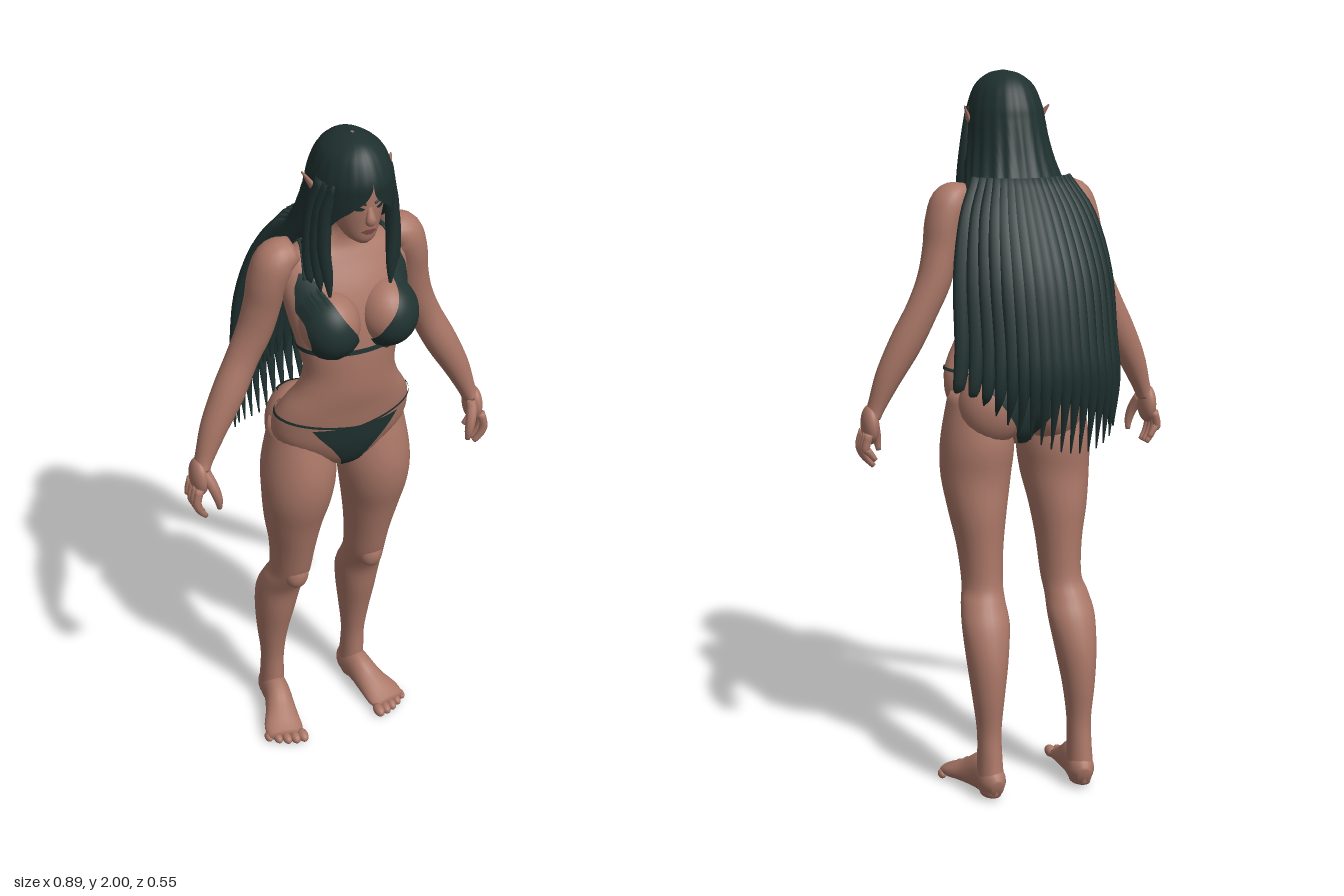
import * as THREE from 'three';

const mat = (name, color, side = THREE.FrontSide) => {
  const m = new THREE.MeshStandardMaterial({ color, side });
  m.name = name;
  return m;
};
const skin = mat('skin', 0xaa7767);
const hair = mat('darkHair', 0x1e302f, THREE.DoubleSide);
const cloth = mat('darkCloth', 0x213432, THREE.DoubleSide);
const lip = mat('lip', 0x7e4b45, THREE.DoubleSide);

// Smoothly resample cross-sections [x, y, z, ra, rb]
function samples(pts, n) {
  const c = new THREE.CatmullRomCurve3(pts.map(p => new THREE.Vector3(p[0], p[1], p[2])), false, 'catmullrom');
  const r = new THREE.CatmullRomCurve3(pts.map(p => new THREE.Vector3(p[3], p[4] ?? p[3], 0)), false, 'catmullrom');
  return Array.from({ length: n + 1 }, (_, i) => {
    const a = c.getPoint(i / n), b = r.getPoint(i / n);
    return [a.x, a.y, a.z, Math.max(b.x, 0.001), Math.max(b.y, 0.001)];
  });
}
function geometry(pos, idx) {
  const g = new THREE.BufferGeometry();
  g.setAttribute('position', new THREE.Float32BufferAttribute(pos, 3));
  g.setIndex(idx);
  g.computeVertexNormals();
  return g;
}
// Closed body of elliptical rings along a path; flat keeps the rings horizontal
function sweep(pts, n = 20, sides = 16, flat = false) {
  const s = samples(pts, n), pos = [], idx = [];
  const v = s.map(p => new THREE.Vector3(p[0], p[1], p[2]));
  for (let i = 0; i <= n; i++) {
    const t = v[Math.min(i + 1, n)].clone().sub(v[Math.max(i - 1, 0)]).normalize();
    if (flat) t.set(0, Math.sign(t.y), 0);
    const a = new THREE.Vector3(1, 0, 0).addScaledVector(t, -t.x).normalize();
    const b = t.clone().cross(a);
    for (let j = 0; j < sides; j++) {
      const th = j / sides * Math.PI * 2;
      const p = v[i].clone().addScaledVector(a, Math.cos(th) * s[i][3]).addScaledVector(b, Math.sin(th) * s[i][4]);
      pos.push(p.x, p.y, p.z);
      const k = i * sides + j, q = i * sides + (j + 1) % sides;
      if (i < n) idx.push(k, q, k + sides, q, q + sides, k + sides);
    }
  }
  const c0 = pos.length / 3, last = n * sides;
  pos.push(...v[0].toArray(), ...v[n].toArray());
  for (let j = 0; j < sides; j++) {
    const q = (j + 1) % sides;
    idx.push(c0, q, j, c0 + 1, last + j, last + q);
  }
  return geometry(pos, idx);
}
function grid(nu, nv, f) {
  const pos = [], idx = [];
  for (let i = 0; i <= nv; i++) for (let j = 0; j <= nu; j++) {
    pos.push(...f(j / nu, i / nv));
    const k = i * (nu + 1) + j;
    if (i < nv && j < nu) idx.push(k, k + 1, k + nu + 1, k + 1, k + nu + 2, k + nu + 1);
  }
  return geometry(pos, idx);
}
// Linear lookup in rows [key, a, b, ...] with rising keys
function lookup(rows, y) {
  let i = 0;
  while (i < rows.length - 2 && rows[i + 1][0] < y) i++;
  const a = rows[i], b = rows[i + 1];
  const t = Math.min(1, Math.max(0, (y - a[0]) / (b[0] - a[0])));
  return a.map((q, k) => q + (b[k] - q) * t);
}
// Thin patch between edges rows [y, x0, x1], laid on the surface z = f(x, y)
const patch = (rows, f, nu = 16, nv = 20) => grid(nu, nv, (u, v) => {
  const y = rows[0][0] + (rows[rows.length - 1][0] - rows[0][0]) * v;
  const [, x0, x1] = lookup(rows, y), x = x0 + (x1 - x0) * u;
  return [x, y, f(x, y)];
});
const arc = (x, r) => Math.sqrt(Math.max(0, 1 - (x / r) ** 2));

const torsoPts = [[0, .985, .05, .03, .05], [0, 1.03, .06, .11, .09], [0, 1.1, .07, .185, .11], [0, 1.17, .085, .195, .11],
  [0, 1.22, .105, .178, .1], [0, 1.28, .128, .142, .09], [0, 1.34, .135, .127, .088], [0, 1.42, .13, .143, .093],
  [0, 1.5, .12, .163, .095], [0, 1.58, .105, .175, .085], [0, 1.65, .085, .165, .068], [0, 1.69, .08, .1, .055],
  [0, 1.73, .09, .05, .05], [0, 1.8, .115, .045, .05]];
const headPts = [[0, 1.733, .2, .018, .025], [0, 1.75, .187, .04, .05], [0, 1.79, .162, .06, .082], [0, 1.84, .15, .071, .1],
  [0, 1.9, .145, .077, .105], [0, 1.95, .14, .065, .09], [0, 1.985, .14, .03, .045]];
const surface = pts => {
  const rows = samples(pts, 60).map(p => [p[1], p[2], p[3], p[4]]);
  return (x, y, dir = 1) => { const [, z, rx, rz] = lookup(rows, y); return z + dir * rz * arc(x, rx); };
};
const torsoZ = surface(torsoPts), headZ = surface(headPts);

export function createModel() {
  const root = new THREE.Group();
  root.name = 'standingFigure';
  const add = (name, geo, m = skin) => {
    const mesh = new THREE.Mesh(geo, m);
    mesh.name = name;
    root.add(mesh);
    return mesh;
  };
  const ball = (name, p, r, m = skin) => add(name, new THREE.SphereGeometry(1, 24, 16).scale(...r).translate(...p), m);

  add('torso', sweep(torsoPts, 60, 36, true));
  add('head', sweep(headPts, 30, 28, true));
  add('nose', sweep([[0, 1.855, .238, .007], [0, 1.83, .247, .009], [0, 1.808, .252, .014, .013], [0, 1.798, .242, .01]], 10, 10));
  add('mouth', patch([[1.767, -.008, .008], [1.775, -.022, .022], [1.782, -.01, .01]], (x, y) => headZ(x, y) + .005), lip);

  for (const s of [1, -1]) {
    const side = s > 0 ? 'left' : 'right';
    const m = pts => pts.map(([x, ...r]) => [x * s, ...r]);
    const rowsM = rows => rows.map(([y, a, b]) => [y, a * s, b * s]);

    // Face details and ears
    add(side + 'Eye', patch(rowsM([[1.836, .022, .034], [1.842, .015, .044], [1.847, .026, .046]]), (x, y) => headZ(x, y) + .003), hair);
    add(side + 'Brow', sweep(m([[.012, 1.853, .25, .003], [.032, 1.861, .241, .005], [.055, 1.868, .218, .003]]), 8, 8), hair);
    add(side + 'Ear', sweep(m([[.068, 1.81, .155, .01, .014], [.085, 1.84, .155, .011, .022], [.102, 1.87, .14, .008, .017], [.122, 1.905, .115, .002, .003]]), 12, 10));

    // Chest, seat and legs
    ball(side + 'Chest', [.08 * s, 1.5, .185], [.078, .088, .088]);
    ball(side + 'Seat', [.088 * s, 1.1, .008], [.095, .115, .09]);
    add(side + 'Leg', sweep(m([[.11, 1.14, .055, .08, .085], [.112, 1, .055, .102, .113], [.117, .9, .055, .098, .107], [.12, .8, .035, .081, .095],
      [.118, .7, .02, .064, .081], [.118, .6, .002, .057, .07], [.125, .55, -.025, .062, .066], [.128, .49, -.057, .067, .066],
      [.132, .4, -.08, .058, .068], [.135, .3, -.095, .045, .056], [.135, .2, -.1, .034, .042], [.135, .12, -.105, .034, .045],
      [.135, .05, -.11, .036, .05], [.135, .012, -.11, .028, .042]]), 56, 24, true));
    ball(side + 'Kneecap', [.118 * s, .6, .045], [.036, .05, .035]);
    add(side + 'Foot', sweep(m([[.13, .04, -.16, .018, .025], [.133, .05, -.13, .037, .048], [.138, .06, -.07, .038, .058],
      [.152, .042, -.005, .046, .04], [.168, .027, .05, .057, .026], [.175, .02, .085, .05, .018]]), 24, 18));
    for (let i = 0; i < 5; i++)
      ball(side + 'Toe', [(.128 + i * .0235) * s, .018 - i * .001, .102 - i * i * .0025], [.0155 - i * .001, .017 - i * .001, .026 - i * .002]);

    // Arms and hands
    add(side + 'Arm', sweep(m([[.13, 1.675, .08, .03, .04], [.175, 1.655, .076, .052, .058], [.2, 1.6, .07, .05, .06], [.212, 1.53, .063, .048, .053],
      [.232, 1.45, .055, .047, .048], [.268, 1.37, .052, .044, .043], [.313, 1.28, .06, .045, .044], [.36, 1.19, .068, .037, .038],
      [.393, 1.11, .076, .025, .03], [.405, 1.08, .08, .022, .032]]), 40, 20));
    ball(side + 'Palm', [.413 * s, 1.055, .08], [.024, .055, .043]);
    for (let i = 0; i < 4; i++) {
      const z = .05 + i * .021, d = i === 0 ? .02 : 0;
      add(side + 'Finger', sweep(m([[.424, 1.035, z, .012], [.434, .995, z + .002, .012], [.425, .965 + d, z, .0105], [.408, .942 + d, z - .004, .007]]), 10, 8));
    }
    add(side + 'Thumb', sweep(m([[.402, 1.075, .1, .016], [.388, 1.035, .122, .015], [.379, 1, .13, .012], [.376, .97, .128, .007]]), 10, 8));

    // Top cup and shoulder strap
    const cupZ = (x, y) => {
      const q = 1 - ((Math.abs(x) - .08) / .084) ** 2 - ((y - 1.5) / .094) ** 2;
      return Math.max(torsoZ(x, y) + .006, q > 0 ? .185 + .094 * Math.sqrt(q) : 0);
    };
    add(side + 'Cup', patch(rowsM([[1.405, .07, .095], [1.425, .035, .125], [1.45, .018, .145], [1.5, .04, .157], [1.55, .075, .16], [1.6, .1, .157], [1.635, .118, .142]]), cupZ, 20, 30), cloth);
    add(side + 'ShoulderStrap', sweep(m([[.13, 1.62, .15, .007, .004], [.125, 1.665, .13, .007, .004], [.115, 1.695, .09, .007, .004], [.11, 1.67, .03, .007, .004], [.1, 1.56, .02, .007, .004], [.09, 1.43, .04, .007, .004]]), 24, 8), cloth);

    // Front lock of hair
    for (let i = 0; i < 3; i++)
      add(side + 'FrontLock', sweep(m([[.07 + i * .01, 1.9, .2 - i * .02, .014, .02], [.09 + i * .008, 1.82, .185 - i * .02, .018, .022],
        [.095 + i * .012, 1.72, .185 - i * .02, .018, .02], [.088 + i * .016, 1.64, .195 - i * .02, .014, .012], [.084 + i * .017, 1.575 + i * .02, .2 - i * .02, .002]]), 16, 8), hair);
  }

  // Straps around the body
  const band = (name, y, h, rise) => add(name, grid(64, 1, (u, v) => {
    const a = u * Math.PI * 2, yy = y + (v - .5) * h + rise * Math.abs(Math.sin(a));
    const r = torsoRing(yy);
    return [Math.sin(a) * (r[1] + .004), yy, r[0] + Math.cos(a) * (r[2] + .004)];
  }), cloth);
  const ringRows = samples(torsoPts, 60).map(p => [p[1], p[2], p[3], p[4]]);
  const torsoRing = y => lookup(ringRows, y).slice(1);
  band('chestBand', 1.42, .014, 0);
  band('hipStrap', 1.165, .008, .03);

  // Brief, front and back
  add('briefFront', patch([[.99, -.014, .014], [1.05, -.036, .036], [1.1, -.068, .068], [1.15, -.11, .11], [1.172, -.125, .125]], (x, y) => torsoZ(x, y) + .006, 24, 24), cloth);
  const seatZ = (x, y) => {
    const q = 1 - ((Math.abs(x) - .088) / .095) ** 2 - ((y - 1.1) / .115) ** 2;
    return Math.min(torsoZ(x, y, -1), q > 0 ? .008 - .09 * Math.sqrt(q) : 1) - .006;
  };
  add('briefBack', patch([[.99, -.014, .014], [1.05, -.04, .04], [1.1, -.075, .075], [1.15, -.115, .115], [1.195, -.14, .14]], seatZ, 32, 24), cloth);

  // Hair cap and mantle: the first value is the half angle left open at the front
  const capRows = samples([[0, 2, .145, .004, .006], [0, 1.99, .143, .04, .062], [0, 1.96, .14, .077, .1], [0, 1.91, .137, .097, .127],
    [.12, 1.87, .13, .104, .132], [.62, 1.82, .118, .11, .135], [.95, 1.76, .095, .122, .133], [1.35, 1.69, .045, .142, .115],
    [1.62, 1.6, -.01, .178, .115], [1.7, 1.5, -.045, .188, .125], [1.75, 1.38, -.07, .185, .135], [1.75, 1.28, -.09, .175, .13]], 60);
  add('hairCap', grid(72, 60, (u, v) => {
    const [open, y, z, rx, rz] = capRows[Math.round(v * 60)];
    const o = Math.max(0, open), a = o + u * (Math.PI * 2 - 2 * o);
    const k = 1 + .018 * Math.min(1, v * 2) * Math.sin(a * 21);
    return [Math.sin(a) * rx * k, y, z + Math.cos(a) * rz * k];
  }), hair);

  // Long strands fanning over the back, in an outer and an inner layer
  for (let i = -8; i <= 8; i++) {
    const t = i / 8, c = Math.sqrt(1 - t * t * .85), w = Math.sin(i * 12.7), tip = 1.09 + .09 * w + .1 * t * t;
    add('backStrand', sweep([[t * .125, 1.72, .04 - .1 * c, .018, .008], [t * .17, 1.62, -.005 - .12 * c, .026, .013], [t * .2, 1.47, -.02 - .185 * c, .028, .014],
      [t * .21, 1.3, -.035 - .215 * c, .024, .012], [t * .215 + .012 * w, 1.18, -.04 - .22 * c, .016, .009], [t * .21 + .02 * w, tip - .07, -.035 - .19 * c, .002]], 20, 8), hair);
    add('innerStrand', sweep([[t * .12, 1.68, -.02 - .03 * c, .02, .01], [t * .165, 1.5, -.02 - .1 * c, .026, .014],
      [t * .19, 1.36, -.03 - .12 * c, .024, .012], [t * .2, 1.24 + .05 * w, -.04 - .12 * c, .003]], 14, 8), hair);
  }
  return root;
}
